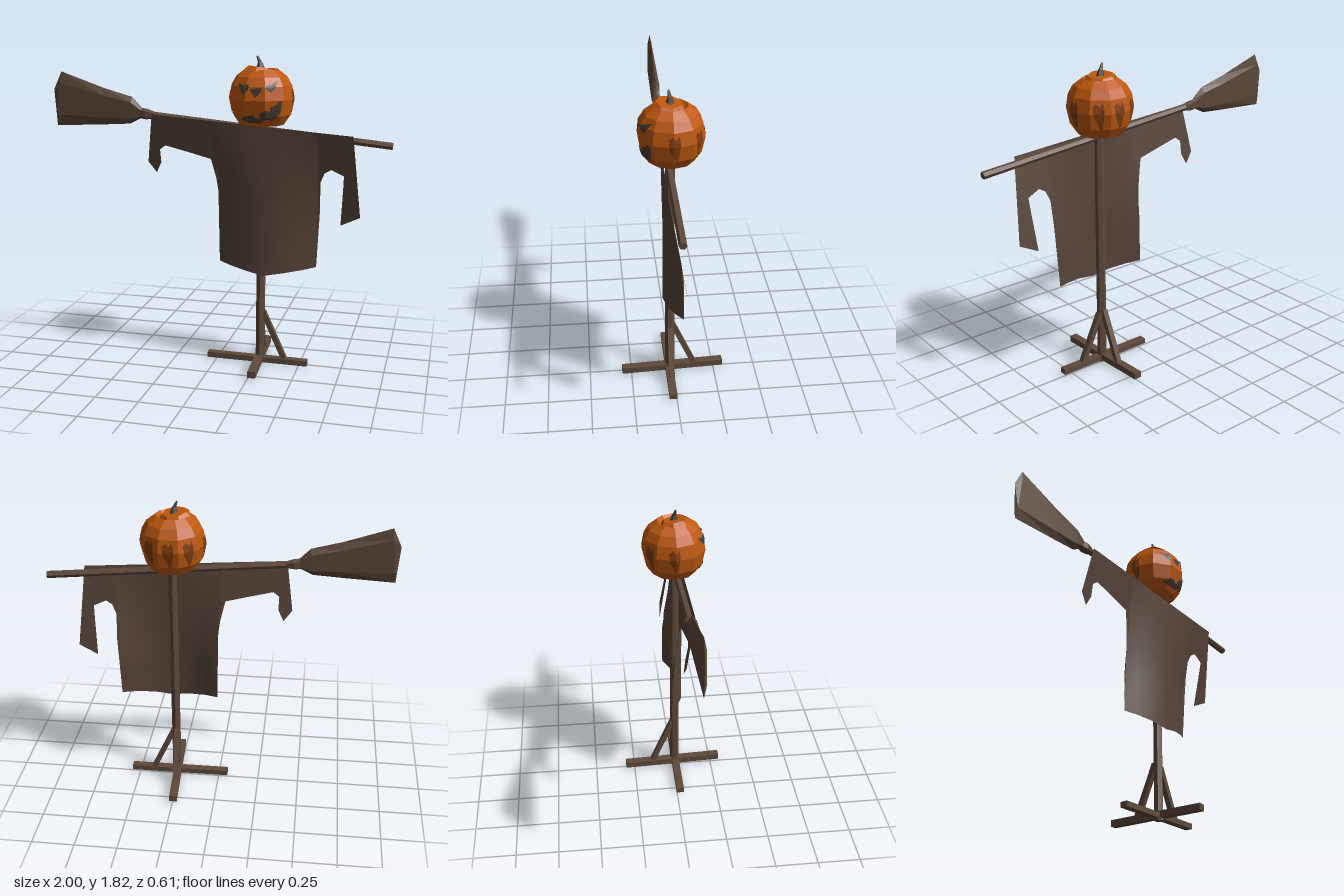
import * as THREE from 'three';

const flat = (name, color, smooth = false) => {
  const m = new THREE.MeshStandardMaterial({ color, side: THREE.DoubleSide, flatShading: !smooth });
  m.name = name;
  return m;
};

export function createModel() {
  const root = new THREE.Group();
  root.name = 'scarecrow';
  const wood = flat('wood', 0x5f4a3c);
  const cloth = flat('cloth', 0x57453a, true);
  const straw = flat('straw', 0x5b4839);
  const orange = flat('pumpkinOrange', 0xbe580d);
  const darkOrange = flat('darkOrange', 0x7d3c0e);
  const dark = flat('carvedDark', 0x4b3d33);
  const stemGrey = flat('stem', 0x4f463b);

  const add = (name, geo, mat, parent = root) => {
    const mesh = new THREE.Mesh(geo, mat);
    mesh.name = name;
    parent.add(mesh);
    return mesh;
  };
  const V = (p) => new THREE.Vector3(...p);

  // Tapered round rod between two points
  const rod = (name, a, b, r0, r1, mat, sides = 6, parent = root) => {
    const d = V(b).sub(V(a));
    const mesh = add(name, new THREE.CylinderGeometry(r1, r0, d.length(), sides), mat, parent);
    mesh.position.copy(V(a)).addScaledVector(d, 0.5);
    mesh.quaternion.setFromUnitVectors(new THREE.Vector3(0, 1, 0), d.normalize());
  };
  // Square beam between two points
  const beam = (name, a, b, w, h) => {
    const mesh = add(name, new THREE.BoxGeometry(w, h, V(a).distanceTo(V(b))), wood);
    mesh.position.copy(V(a)).add(V(b)).multiplyScalar(0.5);
    mesh.lookAt(V(b));
  };
  // Sheet from columns [xTop, yTop, xBottom, yBottom], placed by map(x, y)
  const sheet = (cols, rows, map) => {
    const pos = [], idx = [];
    cols.forEach(([xt, yt, xb, yb], i) => {
      for (let j = 0; j <= rows; j++) {
        const t = j / rows;
        pos.push(...map(xt + (xb - xt) * t, yt + (yb - yt) * t));
        if (i && j) {
          const d = i * (rows + 1) + j, b = d - rows - 1;
          idx.push(b - 1, b, d - 1, d - 1, b, d);
        }
      }
    });
    const g = new THREE.BufferGeometry();
    g.setAttribute('position', new THREE.Float32BufferAttribute(pos, 3));
    g.setIndex(idx);
    g.computeVertexNormals();
    return g;
  };

  // Stand
  rod('post', [0.265, 0, 0.015], [0.265, 1.45, 0.015], 0.028, 0.026, wood);
  beam('footAcross', [-0.055, 0.024, 0.02], [0.55, 0.022, 0.02], 0.045, 0.032);
  beam('footAlong', [0.245, 0.03, -0.305], [0.275, 0.03, 0.305], 0.046, 0.038);
  beam('sideBrace', [0.28, 0.32, 0.015], [0.41, 0.035, 0.015], 0.032, 0.03);
  beam('backBrace', [0.26, 0.34, 0.0], [0.255, 0.045, -0.128], 0.032, 0.03);

  // Broom used as the arms
  rod('broomHandle', [1, 1.335, 0.025], [-0.4, 1.468, 0.027], 0.021, 0.02, wood);
  const sections = [ // xTop, yTop, xBottom, yBottom, half thickness
    [-0.378, 1.486, -0.378, 1.444, 0.02], [-0.418, 1.5, -0.428, 1.438, 0.027],
    [-0.45, 1.505, -0.46, 1.443, 0.02], [-0.51, 1.567, -0.525, 1.41, 0.024],
    [-0.685, 1.615, -0.685, 1.4, 0.02], [-0.95, 1.706, -0.985, 1.385, 0.013],
  ];
  const ring = [[0, 0], [0.2, 1], [0.8, 1], [1, 0], [0.8, -1], [0.2, -1]];
  const pos = [], idx = [];
  sections.forEach(([xt, yt, xb, yb, h], i) => ring.forEach(([t, s], k) => {
    pos.push(xt + (xb - xt) * t, yt + (yb - yt) * t, 0.026 + s * h);
    if (i) {
      const a = (i - 1) * 6 + k, b = (i - 1) * 6 + (k + 1) % 6;
      idx.push(a, a + 6, b, b, a + 6, b + 6);
    }
  }));
  // bristle tip bulges out past the last section
  pos.push(-1, 1.6, 0.026);
  const last = (sections.length - 1) * 6, tip = sections.length * 6;
  for (let k = 0; k < 6; k++) idx.push(last + (k + 1) % 6, last + k, tip);
  for (let k = 1; k < 5; k++) idx.push(0, k, k + 1);
  const broom = new THREE.BufferGeometry();
  broom.setAttribute('position', new THREE.Float32BufferAttribute(pos, 3));
  broom.setIndex(idx);
  broom.computeVertexNormals();
  add('broomHead', broom, straw);

  // Ragged smock: one sheet hung in front of the pole, edges swept back
  const hem = [ // xTop, xBottom, yBottom
    [-0.382, -0.422, 1.187], [-0.368, -0.374, 1.123], [-0.352, -0.342, 1.187],
    [-0.338, -0.348, 1.262], [-0.3, -0.31, 1.29], [-0.17, -0.17, 1.255],
    [-0.037, -0.037, 1.22], [-0.012, -0.01, 1.107], [0.004, 0.001, 1.03], [0.01, 0.005, 0.6],
    [0.08, 0.075, 0.588], [0.18, 0.18, 0.57], [0.289, 0.289, 0.55], [0.4, 0.4, 0.57],
    [0.5, 0.51, 0.587], [0.585, 0.583, 0.6], [0.595, 0.6, 0.95], [0.602, 0.602, 1.11],
    [0.626, 0.626, 1.166], [0.663, 0.663, 1.187], [0.735, 0.743, 1.15],
    [0.752, 0.717, 0.856], [0.786, 0.829, 0.91],
  ];
  const topY = (x) => 1.444 - 0.0746 * x;
  add('smock', sheet(hem.map(([xt, xb, yb]) => [xt, topY(xt), xb, yb]), 10, (x, y) => {
    const side = Math.min(1, Math.abs(x - 0.29) / 0.3);
    const drop = Math.min(1, Math.max(0, (topY(x) - y) / 0.55));
    return [x, y, 0.06 - 0.095 * side * side * drop];
  }), cloth);

  // Pumpkin head
  const head = new THREE.Group();
  head.name = 'head';
  head.position.set(0.257, 0, 0.01);
  root.add(head);
  const n = 10, start = Math.PI / n, step = 2 * Math.PI / n;
  const profile = [[0, 1.44], [0.07, 1.425], [0.128, 1.432], [0.168, 1.49], [0.187, 1.58],
    [0.174, 1.655], [0.145, 1.705], [0.095, 1.742], [0.07, 1.72], [0, 1.71]];
  add('pumpkin', new THREE.LatheGeometry(profile.map((p) => new THREE.Vector2(...p)), n, start), orange, head);

  // Radius of the pumpkin side at a height, and a point just above its facets
  const radius = (y) => {
    let i = 2;
    while (i < 6 && y > profile[i + 1][1]) i++;
    const [r0, y0] = profile[i], [r1, y1] = profile[i + 1];
    return r0 + (r1 - r0) * (y - y0) / (y1 - y0);
  };
  const onSkin = (phi, y, off) => {
    const local = ((phi - start) % step + step) % step - step / 2;
    const r = radius(y) * Math.cos(step / 2) / Math.cos(local) + off;
    return [r * Math.sin(phi), y, r * Math.cos(phi)];
  };
  const faceMap = (x, y) => onSkin(Math.asin((x - 0.257) / radius(y)), y, 0.006);
  const carve = (name, cols) => add(name, sheet(cols, 4, faceMap), dark, head);
  carve('rightEye', [[0.15, 1.672, 0.155, 1.655], [0.185, 1.665, 0.19, 1.615], [0.22, 1.67, 0.218, 1.64]]);
  carve('leftEye', [[0.306, 1.66, 0.308, 1.652], [0.34, 1.672, 0.345, 1.625], [0.372, 1.69, 0.36, 1.64]]);
  carve('nose', [[0.228, 1.643, 0.23, 1.632], [0.26, 1.65, 0.26, 1.597], [0.292, 1.652, 0.288, 1.63]]);
  carve('mouth', [[0.175, 1.482, 0.18, 1.468], [0.21, 1.497, 0.21, 1.459], [0.25, 1.502, 0.25, 1.455],
    [0.256, 1.482, 0.256, 1.455], [0.278, 1.482, 0.278, 1.455], [0.284, 1.512, 0.284, 1.456],
    [0.315, 1.528, 0.315, 1.476], [0.335, 1.522, 0.335, 1.476], [0.34, 1.545, 0.34, 1.462],
    [0.37, 1.558, 0.37, 1.485], [0.385, 1.578, 0.385, 1.51], [0.394, 1.578, 0.392, 1.54]]);

  // Darker ragged blotches around the sides and back
  for (const phi of [92, 142, 180, 218, 268]) {
    const c = phi * Math.PI / 180;
    const cols = [[-0.2, 1.62, -0.16, 1.56], [-0.08, 1.635, -0.06, 1.53], [0.02, 1.615, 0.02, 1.49],
      [0.1, 1.64, 0.1, 1.5], [0.16, 1.61, 0.14, 1.55]];
    add('blotch', sheet(cols, 4, (x, y) => onSkin(c + x, y, 0.004)), darkOrange, head);
  }

  // Tilted lid and crooked stem
  const lid = add('lid', new THREE.CylinderGeometry(0.07, 0.092, 0.022, 7), orange, head);
  lid.position.set(-0.012, 1.742, 0.01);
  lid.rotation.set(-0.1, 0, -0.13);
  rod('stemBase', [-0.008, 1.745, 0.004], [-0.01, 1.782, 0.005], 0.026, 0.012, stemGrey, 6, head);
  rod('stemTip', [-0.01, 1.778, 0.005], [-0.026, 1.815, 0.01], 0.012, 0.005, stemGrey, 6, head);

  return root;
}
